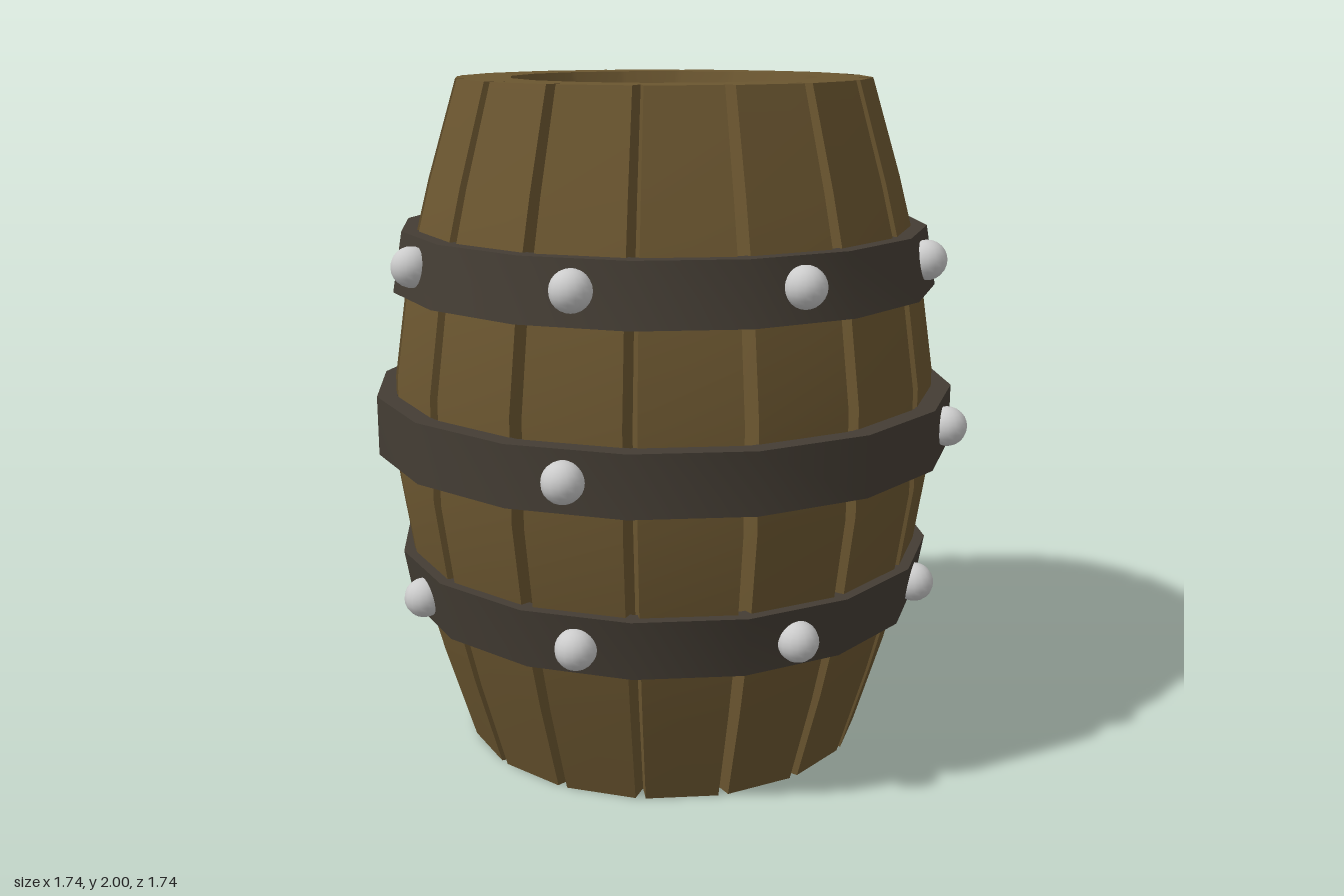
import * as THREE from 'three';
import { toCreasedNormals } from 'three/addons/utils/BufferGeometryUtils.js';

const SIDES = 16;
const STEP = (Math.PI * 2) / SIDES;
const GROOVE_HALF_ANGLE = 0.024;
const GROOVE_DEPTH = 0.06;

// One closed outline: per groove a left lip, a valley and a right lip.
function outline(radius, y, grooveDepth) {
  const points = [];
  for (let i = 0; i < SIDES; i++) {
    for (const k of [-1, 0, 1]) {
      const a = i * STEP + k * GROOVE_HALF_ANGLE;
      const r = k === 0 ? radius - grooveDepth : radius;
      points.push([r * Math.cos(a), y, -r * Math.sin(a)]);
    }
  }
  return points;
}

// Skin between successive outlines, capped by a fan at both ends.
function loft(rings) {
  const pos = [];
  const n = rings[0].length;
  const first = rings[0], last = rings[rings.length - 1];
  for (let i = 0; i < n; i++) {
    const j = (i + 1) % n;
    for (let k = 0; k < rings.length - 1; k++) {
      const lo = rings[k], hi = rings[k + 1];
      pos.push(...lo[i], ...lo[j], ...hi[j], ...lo[i], ...hi[j], ...hi[i]);
    }
    pos.push(0, first[0][1], 0, ...first[j], ...first[i]);
    pos.push(0, last[0][1], 0, ...last[i], ...last[j]);
  }
  const geometry = new THREE.BufferGeometry();
  geometry.setAttribute('position', new THREE.Float32BufferAttribute(pos, 3));
  return toCreasedNormals(geometry, 0.5);
}

export function createModel() {
  const model = new THREE.Group();
  model.name = 'barrel';
  const wood = new THREE.MeshStandardMaterial({ color: 0x6b5630 });
  const iron = new THREE.MeshStandardMaterial({ color: 0x443d34 });
  const steel = new THREE.MeshStandardMaterial({ color: 0xcccccc });

  // Bulging staves with V grooves, and a recessed lid at each end: [radius, y]
  const profile = [[0.61, 0], [0.695, 0.28], [0.765, 0.55], [0.81, 0.85],
    [0.81, 1.15], [0.765, 1.45], [0.695, 1.72], [0.61, 2]];
  const staves = new THREE.Mesh(loft([
    outline(0.42, 0.085, 0),
    outline(0.45, 0, 0),
    ...profile.map(([r, y]) => outline(r, y, GROOVE_DEPTH)),
    outline(0.45, 2, 0),
    outline(0.42, 1.915, 0),
  ]), wood);
  staves.name = 'staves';
  model.add(staves);

  // Hoops with their rivets, one rivet on every 'every'-th facet
  const rivetGeometry = new THREE.SphereGeometry(0.058, 16, 12);
  const hoops = [
    { name: 'lowerHoop', y0: 0.44, y1: 0.615, r0: 0.78, r1: 0.81, rivetY: 0.52, rivetR: 0.79, every: 2 },
    { name: 'middleHoop', y0: 0.92, y1: 1.095, r0: 0.87, r1: 0.87, rivetY: 1.01, rivetR: 0.868, every: 4 },
    { name: 'upperHoop', y0: 1.4, y1: 1.575, r0: 0.81, r1: 0.78, rivetY: 1.495, rivetR: 0.79, every: 2 },
  ];
  for (const h of hoops) {
    const group = new THREE.Group();
    group.name = h.name;
    const section = [[h.r0 - 0.06, h.y0], [h.r0, h.y0], [h.r1, h.y1], [h.r1 - 0.06, h.y1], [h.r0 - 0.06, h.y0]]
      .map(([r, y]) => new THREE.Vector2(r, y));
    const band = new THREE.Mesh(toCreasedNormals(new THREE.LatheGeometry(section, SIDES), 0.5), iron);
    band.name = 'band';
    group.add(band);
    for (let i = 0; i < SIDES; i += h.every) {
      const a = (i + 2.5) * STEP;
      const rivet = new THREE.Mesh(rivetGeometry, steel);
      rivet.name = 'rivet';
      rivet.position.set(h.rivetR * Math.cos(a), h.rivetY, h.rivetR * Math.sin(a));
      group.add(rivet);
    }
    model.add(group);
  }
  return model;
}
